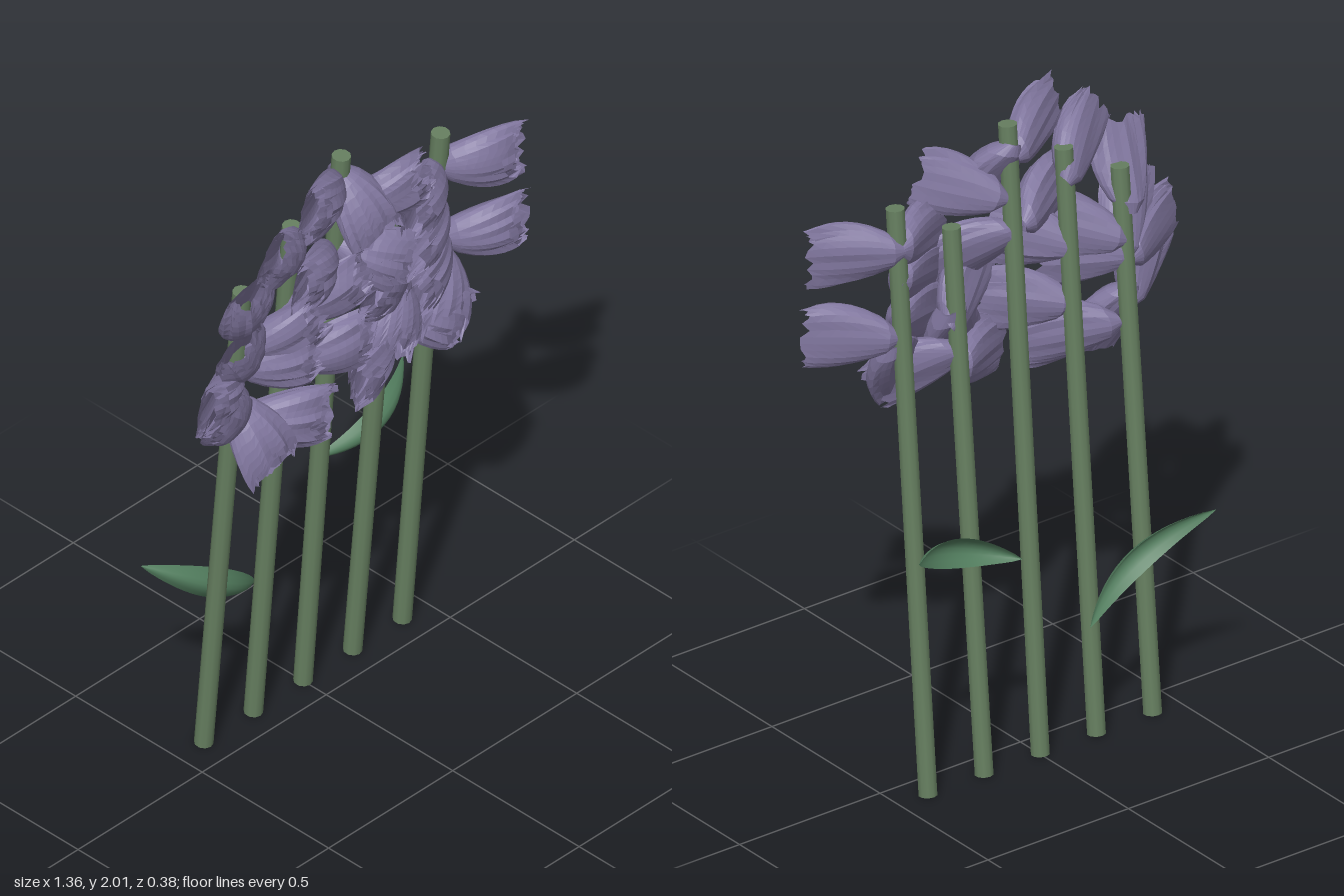
import * as THREE from 'three';

const stemMat = new THREE.MeshStandardMaterial({ color: 0x667f60 });
const leafMat = new THREE.MeshStandardMaterial({ color: 0x527d5e, side: THREE.DoubleSide });
const petalMat = new THREE.MeshStandardMaterial({ color: 0x81779f, side: THREE.DoubleSide, flatShading: true });

// repeatable noise in -1..1
function seeded(seed) {
  let s = seed * 7919 + 13;
  return () => ((s = (s * 16807) % 2147483647) / 2147483647) * 2 - 1;
}

// surface grid from a rule point(u, v)
function gridSurface(nu, nv, point) {
  const pos = [], idx = [];
  for (let j = 0; j <= nv; j++)
    for (let i = 0; i <= nu; i++) pos.push(...point(i / nu, j / nv, i));
  for (let j = 0; j < nv; j++)
    for (let i = 0; i < nu; i++) {
      const a = j * (nu + 1) + i, b = a + nu + 1;
      idx.push(a, b, a + 1, b, b + 1, a + 1);
    }
  const g = new THREE.BufferGeometry();
  g.setAttribute('position', new THREE.Float32BufferAttribute(pos, 3));
  g.setIndex(idx);
  g.computeVertexNormals();
  return g;
}

// one ragged cup of a blossom, growing along +x from behind the stem:
// its back slopes forwards, its front is short and nearly flat
function petalCup(layer, seed) {
  const rnd = seeded(seed), n = 26;
  const jag = Array.from({ length: n }, rnd), pleat = Array.from({ length: n }, rnd);
  return gridSurface(n, 7, (u, v, i) => {
    const a = u * Math.PI * 2, front = Math.max(0, Math.sin(a));
    const len = 0.245 * (1 - 0.04 * layer - front * (0.4 - 0.15 * layer)) + 0.015 * jag[i % n];
    const x = v * len, t = Math.min(x / 0.26, 1);
    const bulge = Math.sqrt(Math.sin(Math.PI * (0.02 + 0.72 * t)));
    const r = (1 - 0.13 * layer) * bulge * (1 + 0.13 * pleat[i % n] * v);
    const zBack = 0.015 + 0.6 * Math.max(0, x - 0.035);
    const zFront = Math.max(zBack + 0.03, 0.03 + 0.15 * bulge);
    const z = (zBack + zFront) / 2 + (zFront - zBack) / 2 * Math.sin(a) * r / bulge;
    return [x, -0.097 * r * Math.cos(a), z];
  });
}

function blossom(x, y, degrees, seed) {
  const g = new THREE.Group();
  g.name = 'blossom';
  for (let l = 0; l < 3; l++) {
    const m = new THREE.Mesh(petalCup(l, seed * 3 + l + 1), petalMat);
    m.name = 'petals';
    g.add(m);
  }
  const a = THREE.MathUtils.degToRad(degrees);
  g.rotation.z = a;
  g.position.set(x - Math.cos(a) * 0.125, y - Math.sin(a) * 0.125, 0);
  return g;
}

// arched leaf whose edges curl backwards
function leaf(from, to) {
  const A = new THREE.Vector3(...from), B = new THREE.Vector3(...to);
  const mid = A.clone().add(B).multiplyScalar(0.5).setZ(0.025);
  const curve = new THREE.QuadraticBezierCurve3(A, mid, B);
  const across = new THREE.Vector3(A.y - B.y, B.x - A.x, 0).normalize();
  const m = new THREE.Mesh(gridSurface(6, 16, (u, v) => {
    const s = u * 2 - 1, w = 0.046 * Math.pow(Math.sin(Math.PI * v), 0.8);
    const p = curve.getPoint(v).addScaledVector(across, s * w);
    return [p.x, p.y, p.z - s * s * w * 0.85];
  }), leafMat);
  m.name = 'leaf';
  return m;
}

export function createModel() {
  const model = new THREE.Group();
  model.name = 'flowerBunch';

  // leaning stems: x, height
  for (const [x, h] of [[-0.4, 1.69], [-0.2, 1.815], [0, 1.955], [0.2, 1.69], [0.4, 1.815]]) {
    const lean = 0.152;
    const m = new THREE.Mesh(new THREE.CylinderGeometry(0.028, 0.028, Math.hypot(h, lean), 10), stemMat);
    m.position.set(x, h / 2, -0.016);
    m.rotation.x = Math.atan2(lean, h);
    m.name = 'stem';
    model.add(m);
  }

  // blossoms: centre x, centre y, direction of the opening in degrees
  const blossoms = [
    [-0.13, 1.89, 165], [-0.29, 1.79, 145], [-0.44, 1.67, 100], [-0.16, 1.65, 170], [0.03, 1.78, 285],
    [0.15, 1.78, 20], [0.28, 1.67, 190], [0.52, 1.69, 0], [0.1, 1.57, 330], [0.29, 1.55, 200],
    [0.54, 1.43, 5], [-0.46, 1.52, 120], [-0.28, 1.51, 20], [-0.1, 1.55, 20], [-0.54, 1.42, 170],
    [-0.51, 1.34, 140], [-0.29, 1.42, 0], [-0.08, 1.35, 10], [0.12, 1.45, 150], [0.16, 1.33, 240],
    [0.3, 1.42, 200], [0.07, 1.22, 190], [0.3, 1.25, 330], [-0.39, 1.19, 285], [-0.25, 1.19, 350],
    [0.36, 1.29, 240],
  ];
  blossoms.forEach(([x, y, d], i) => model.add(blossom(x, y, d, i + 1)));

  model.add(leaf([-0.545, 0.65, -0.2], [-0.125, 0.39, -0.16]));
  model.add(leaf([0.115, 0.69, -0.16], [0.515, 0.82, -0.2]));
  return model;
}
